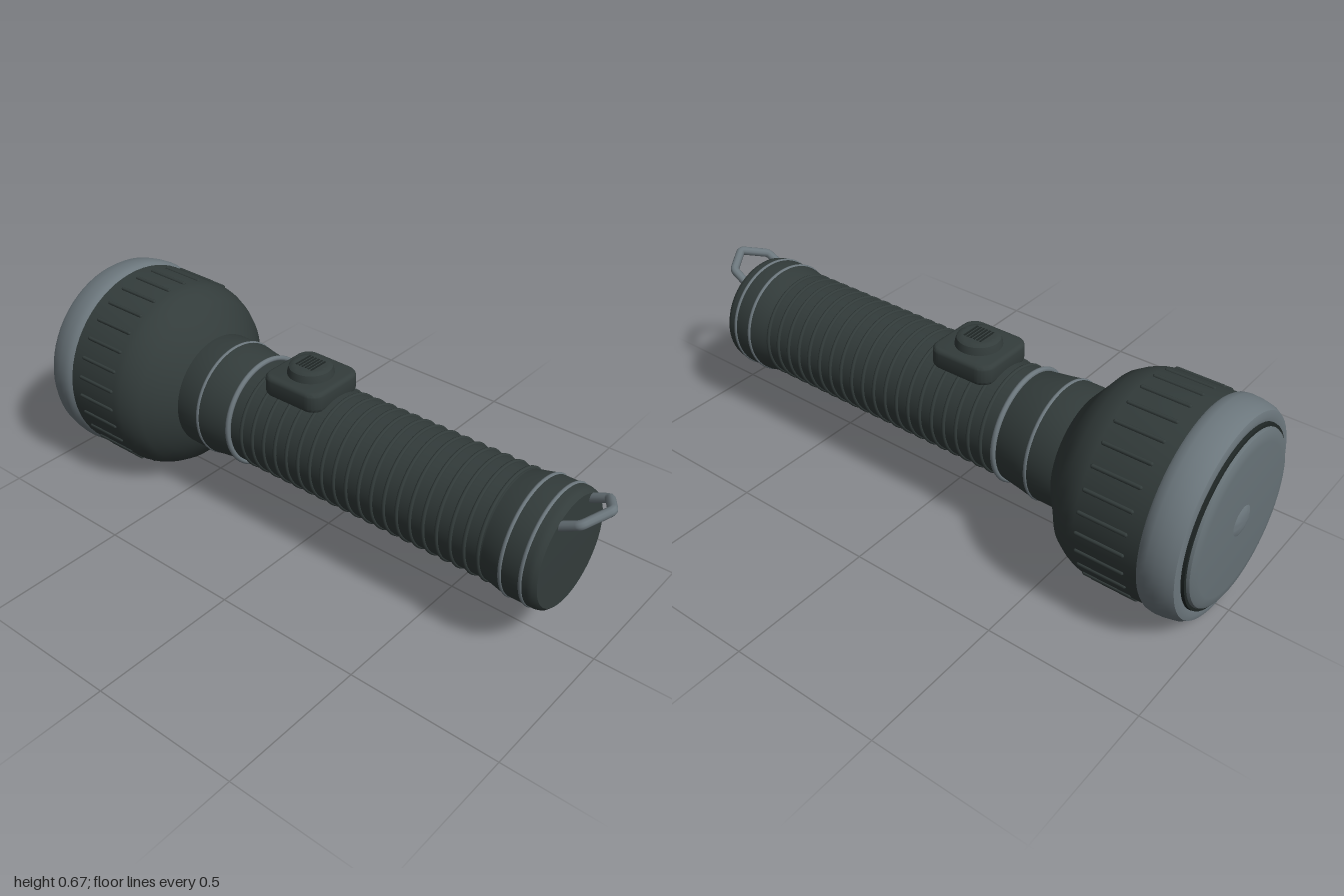
import * as THREE from 'three';
import { toCreasedNormals } from 'three/addons/utils/BufferGeometryUtils.js';

const AXIS_Y = 0.337;

export function createModel() {
  const root = new THREE.Group();
  root.name = 'flashlight';

  const material = (name, color) => {
    const m = new THREE.MeshStandardMaterial({ color });
    m.name = name;
    return m;
  };
  const rubber = material('dark rubber', 0x333c3b);
  const metal = material('grey metal', 0x6c777d);
  const glass = material('grey lens', 0x667176);
  const black = material('black groove', 0x1f2625);

  // Everything round shares one axis running along z
  const barrel = new THREE.Group();
  barrel.name = 'barrel';
  barrel.position.y = AXIS_Y;
  root.add(barrel);

  const add = (parent, name, geometry, mat) => {
    const mesh = new THREE.Mesh(geometry, mat);
    mesh.name = name;
    parent.add(mesh);
    return mesh;
  };
  // Profile is [radius, z], listed with z rising
  const turned = (name, profile, mat, segments = 64) => {
    const geo = new THREE.LatheGeometry(profile.map(([r, z]) => new THREE.Vector2(r, z)), segments);
    geo.rotateX(Math.PI / 2);
    return add(barrel, name, toCreasedNormals(geo, 0.55), mat);
  };
  const ring = (name, z, radius, tube, mat) => {
    add(barrel, name, new THREE.TorusGeometry(radius, tube, 8, 64), mat).position.z = z;
  };

  // Head shell, flaring out from the neck
  turned('head', [
    [0.3, -0.87], [0.327, -0.86], [0.327, -0.65], [0.322, -0.625], [0.31, -0.595],
    [0.289, -0.56], [0.25, -0.53], [0.195, -0.485], [0.18, -0.48],
  ], rubber);

  // Neck, grip and tail cap
  turned('neck', [
    [0.19, -0.5], [0.195, -0.48], [0.195, -0.38], [0.19, -0.35], [0.179, -0.27], [0.175, -0.26],
  ], rubber);
  turned('grip', [[0.176, -0.27], [0.176, 0.72]], rubber);
  turned('tailCap', [
    [0.174, 0.69], [0.179, 0.71], [0.189, 0.755], [0.19, 0.77], [0.19, 0.855],
    [0.186, 0.87], [0.176, 0.88], [0, 0.883],
  ], rubber);

  // Ribs around the grip
  for (let i = 0; i < 20; i++) ring('gripRib', -0.215 + i * 0.0475, 0.176, 0.0065, rubber);

  // Metal trim rings
  ring('neckRingRear', -0.268, 0.182, 0.009, metal);
  ring('neckRingFront', -0.393, 0.192, 0.007, metal);
  ring('tailRingFront', 0.768, 0.187, 0.007, metal);
  ring('tailRingRear', 0.834, 0.187, 0.007, metal);

  // Ribs around the head
  for (let i = 0; i < 30; i++) {
    const a = (i / 30) * Math.PI * 2;
    const rib = add(barrel, 'headRib', new THREE.CapsuleGeometry(0.0065, 0.148, 3, 8), rubber);
    rib.position.set(Math.cos(a) * 0.327, Math.sin(a) * 0.327, -0.735);
    rib.rotation.x = Math.PI / 2;
  }

  // Bezel, seal, lens and bulb cap
  turned('bezel', [
    [0.282, -0.965], [0.3, -0.969], [0.317, -0.964], [0.328, -0.945], [0.335, -0.91],
    [0.337, -0.885], [0.334, -0.864], [0.326, -0.853], [0.3, -0.853],
  ], metal);
  turned('seal', [[0.26, -0.977], [0.283, -0.975], [0.286, -0.96]], black);
  turned('lens', [
    [0, -0.992], [0.235, -0.992], [0.258, -0.99], [0.27, -0.984], [0.275, -0.974], [0.275, -0.96],
  ], glass);
  turned('bulbCap', [
    [0, -1.0], [0.02, -0.999], [0.036, -0.997], [0.048, -0.992], [0.05, -0.985],
  ], metal, 32);

  // Switch housing: rounded plate lying on the grip
  const roundedRect = (w, d, r) => {
    const s = new THREE.Shape();
    s.absarc(w - r, d - r, r, 0, Math.PI / 2);
    s.absarc(-w + r, d - r, r, Math.PI / 2, Math.PI);
    s.absarc(-w + r, -d + r, r, Math.PI, Math.PI * 1.5);
    s.absarc(w - r, -d + r, r, Math.PI * 1.5, Math.PI * 2);
    return s;
  };
  const switchGroup = new THREE.Group();
  switchGroup.name = 'switch';
  switchGroup.position.z = -0.072;
  root.add(switchGroup);
  const housing = new THREE.ExtrudeGeometry(roundedRect(0.098, 0.098, 0.03), {
    depth: 0.04, bevelThickness: 0.014, bevelSize: 0.015, bevelSegments: 4, curveSegments: 8,
  });
  housing.rotateX(-Math.PI / 2);
  add(switchGroup, 'switchHousing', toCreasedNormals(housing, 0.6), rubber).position.y = 0.504;

  // Round push button with grip lines
  const button = new THREE.LatheGeometry([
    [0.076, 0.55], [0.073, 0.568], [0.069, 0.582], [0.06, 0.589], [0.05, 0.59], [0, 0.59],
  ].map(([r, y]) => new THREE.Vector2(r, y)), 40);
  add(switchGroup, 'button', toCreasedNormals(button, 0.6), rubber);
  for (let i = 0; i < 6; i++) {
    const line = add(switchGroup, 'buttonLine', new THREE.BoxGeometry(0.068, 0.004, 0.006), black);
    line.position.set(0, 0.5895, -0.03 + i * 0.012);
  }

  // Bent wire hanging loop on the tail
  const corners = [
    [-0.084, 0.468, 0.865], [-0.08, 0.503, 0.936], [0, 0.53, 0.984],
    [0.08, 0.503, 0.936], [0.084, 0.468, 0.865],
  ].map((p) => new THREE.Vector3(...p));
  const path = new THREE.CurvePath();
  let from = corners[0];
  for (let i = 1; i < 4; i++) {
    const inPoint = corners[i].clone().lerp(corners[i - 1], 0.12);
    const outPoint = corners[i].clone().lerp(corners[i + 1], 0.12);
    path.add(new THREE.LineCurve3(from, inPoint));
    path.add(new THREE.QuadraticBezierCurve3(inPoint, corners[i], outPoint));
    from = outPoint;
  }
  path.add(new THREE.LineCurve3(from, corners[4]));
  add(root, 'hangingLoop', new THREE.TubeGeometry(path, 80, 0.0145, 10), metal);

  return root;
}
